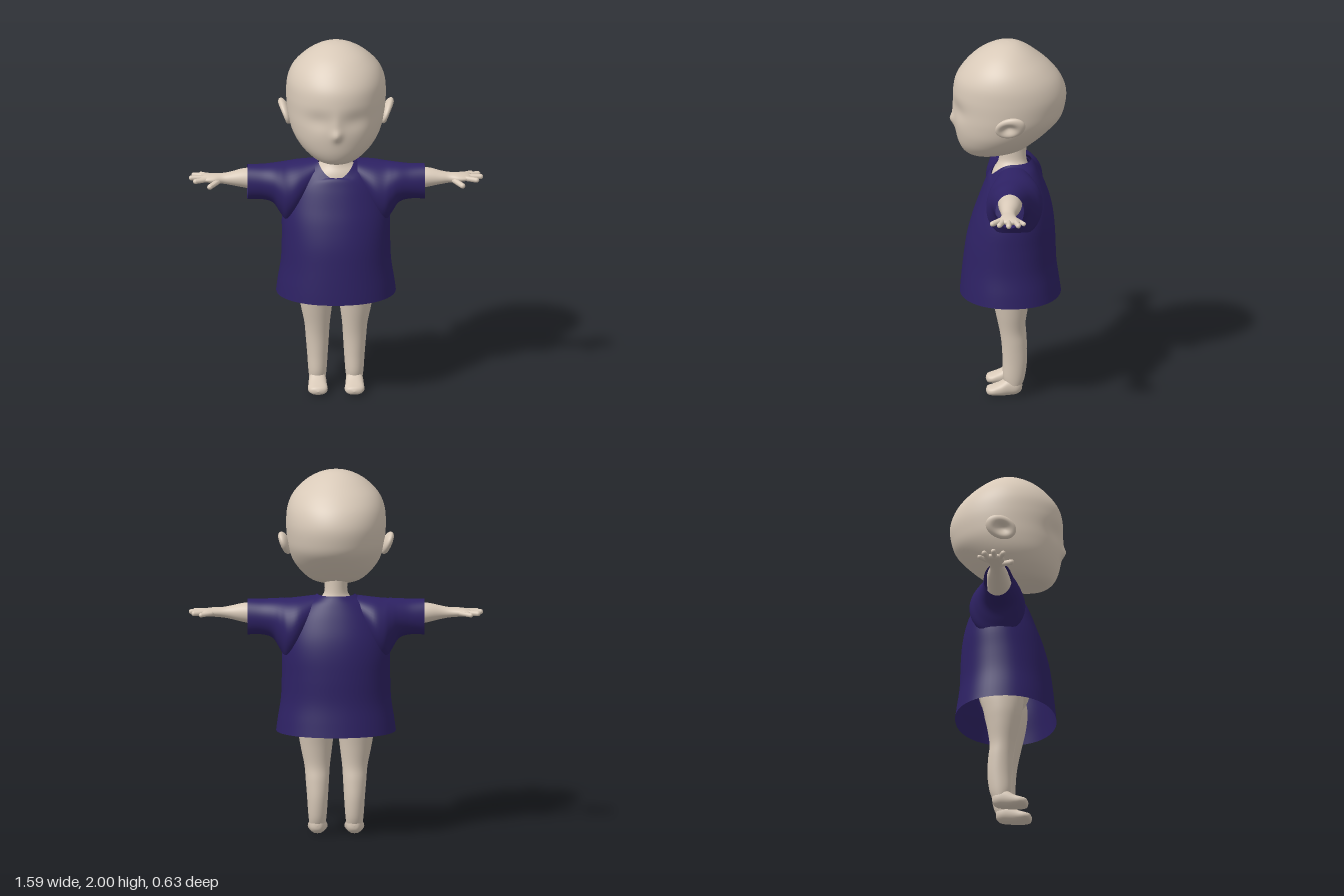
import * as THREE from 'three';

const skin = new THREE.MeshStandardMaterial({ color: 0xd8c9b8 });
skin.name = 'skin';
const cloth = new THREE.MeshStandardMaterial({ color: 0x2d2163, side: THREE.DoubleSide });
cloth.name = 'indigo cloth';

// Cross-plane axes for each loft direction, in cyclic order
const PLANE = { x: ['y', 'z'], y: ['z', 'x'], z: ['x', 'y'] };

// Smooth loft along an axis; each key is [position, centreU, radiusU, centreV, radiusV]
function loft(axis, keys, sides = 40, steps = 5, power = 2) {
  const [u, v] = PLANE[axis], pos = [], index = [], p = new THREE.Vector3();
  const last = keys.length - 1, rings = last * steps;
  const catmull = (a, b, c, d, t) =>
    b + 0.5 * t * (c - a + t * (2 * a - 5 * b + 4 * c - d + t * (3 * (b - c) + d - a)));
  const round = (w) => Math.sign(w) * Math.abs(w) ** (2 / power);
  for (let i = 0; i <= rings; i++) {
    const k = Math.min(Math.floor(i / steps), last - 1), t = i / steps - k;
    const key = (n) => keys[Math.min(Math.max(n, 0), last)];
    const s = keys[0].map((_, n) => catmull(key(k - 1)[n], key(k)[n], key(k + 1)[n], key(k + 2)[n], t));
    for (let j = 0; j < sides; j++) {
      const a = (j / sides) * Math.PI * 2;
      p[axis] = s[0];
      p[u] = s[1] + Math.max(s[2], 0) * round(Math.cos(a));
      p[v] = s[3] + Math.max(s[4], 0) * round(Math.sin(a));
      pos.push(p.x, p.y, p.z);
      if (i === rings) continue;
      const q = i * sides + j, r = i * sides + ((j + 1) % sides);
      index.push(q, r, r + sides, q, r + sides, q + sides);
    }
  }
  const g = new THREE.BufferGeometry();
  g.setAttribute('position', new THREE.Float32BufferAttribute(pos, 3));
  g.setIndex(index);
  g.computeVertexNormals();
  return g;
}

// Horizontal ring from its front z, back z and half width
const ring = (y, front, back, half) => [y, (front + back) / 2, (front - back) / 2, 0, half];

// Move every vertex by a rule
function deform(g, rule) {
  const a = g.attributes.position, p = new THREE.Vector3();
  for (let i = 0; i < a.count; i++) {
    rule(p.fromBufferAttribute(a, i));
    a.setXYZ(i, p.x, p.y, p.z);
  }
  g.computeVertexNormals();
  return g;
}

// Mirrored copy across x = 0 with corners reordered
function mirrored(g) {
  const m = g.clone().scale(-1, 1, 1), id = m.index.array;
  for (let i = 0; i < id.length; i += 3) [id[i], id[i + 1]] = [id[i + 1], id[i]];
  m.computeVertexNormals();
  return m;
}

const bell = (d, w) => Math.exp(-((d / w) ** 2));

function headGeometry() {
  const g = loft('y', [
    ring(1.357, 0.135, 0.135, 0), ring(1.359, 0.19, 0.07, 0.05), ring(1.37, 0.222, 0.01, 0.1),
    ring(1.395, 0.25, -0.08, 0.145), ring(1.44, 0.272, -0.145, 0.192), ring(1.5, 0.286, -0.215, 0.232),
    ring(1.57, 0.295, -0.28, 0.256), ring(1.64, 0.297, -0.306, 0.266), ring(1.72, 0.299, -0.313, 0.27),
    ring(1.8, 0.284, -0.285, 0.262), ring(1.87, 0.24, -0.228, 0.232), ring(1.93, 0.18, -0.158, 0.177),
    ring(1.97, 0.115, -0.1, 0.118), ring(1.993, 0.055, -0.05, 0.058), ring(2, 0, 0, 0),
  ], 128, 6);
  // Nose tip, nose bridge and shallow eye sockets
  return deform(g, (p) => {
    if (p.z < 0.1) return;
    p.z += 0.02 * bell(p.x, 0.026) * bell(p.y - 1.555, 0.03)
      + 0.007 * bell(p.x, 0.03) * bell(p.y - 1.61, 0.06)
      - 0.013 * bell(Math.abs(p.x) - 0.1, 0.07) * bell(p.y - 1.63, 0.055);
  });
}

function earGeometry() {
  // Flattened ball with a hollow on its outer side
  const g = deform(new THREE.SphereGeometry(1, 40, 28), (p) => {
    if (p.x > 0) p.x -= 1.25 * p.x * bell(Math.hypot(p.y, p.z - 0.15), 0.55);
  });
  g.scale(0.03, 0.062, 0.086);
  const turn = new THREE.Matrix4().makeRotationFromEuler(new THREE.Euler(0.4, -0.2, -0.3));
  return g.applyMatrix4(turn).translate(0.278, 1.598, -0.01);
}

// Rounded finger between two points
function finger(from, to, r) {
  const a = new THREE.Vector3(...from), b = new THREE.Vector3(...to), d = b.clone().sub(a);
  const g = new THREE.CapsuleGeometry(r, d.length() - r, 6, 14);
  const q = new THREE.Quaternion().setFromUnitVectors(new THREE.Vector3(0, 1, 0), d.clone().normalize());
  const mid = a.add(b).multiplyScalar(0.5);
  return g.applyQuaternion(q).translate(mid.x, mid.y, mid.z);
}

export function createModel() {
  const model = new THREE.Group();
  const add = (name, geometry, material) => {
    const m = new THREE.Mesh(geometry, material);
    m.name = name;
    model.add(m);
  };
  const addPair = (name, geometry, material) => {
    add(name + 'Left', geometry, material);
    add(name + 'Right', mirrored(geometry), material);
  };

  add('head', headGeometry(), skin);
  addPair('ear', earGeometry(), skin);

  // Neck and body
  add('body', loft('y', [
    ring(0.6, -0.02, -0.02, 0), ring(0.62, 0.05, -0.1, 0.09), ring(0.67, 0.09, -0.145, 0.18),
    ring(0.75, 0.12, -0.16, 0.205), ring(0.9, 0.13, -0.15, 0.19), ring(1.08, 0.11, -0.15, 0.19),
    ring(1.2, 0.095, -0.14, 0.165), ring(1.26, 0.082, -0.12, 0.13), ring(1.3, 0.06, -0.105, 0.085),
    ring(1.34, 0.05, -0.097, 0.062), ring(1.43, 0.055, -0.1, 0.064),
  ], 48), skin);

  // Shirt body with a neckline that dips at the front
  const shirt = loft('y', [
    ring(0.572, 0.262, -0.285, 0.324), ring(0.64, 0.256, -0.275, 0.315), ring(0.75, 0.244, -0.26, 0.298),
    ring(0.88, 0.226, -0.255, 0.293), ring(1, 0.195, -0.246, 0.292), ring(1.1, 0.16, -0.226, 0.275),
    ring(1.2, 0.125, -0.19, 0.235), ring(1.27, 0.108, -0.158, 0.18), ring(1.305, 0.1, -0.138, 0.125),
    ring(1.322, 0.094, -0.125, 0.1),
  ], 64, 5, 2.15);
  add('shirtBody', deform(shirt, (p) => {
    const rise = Math.max(0, (p.y - 1.15) / 0.17), front = Math.min(1, Math.max(0, (p.z + 0.02) / 0.11));
    p.y -= 0.075 * rise * rise * front * front;
  }), cloth);

  // Wide sleeves, open at the cuff
  addPair('sleeve', loft('x', [
    [0.115, 1.245, 0.07, -0.03, 0.09], [0.2, 1.165, 0.14, -0.035, 0.145], [0.26, 1.13, 0.168, -0.03, 0.15],
    [0.3, 1.155, 0.141, -0.02, 0.13], [0.34, 1.185, 0.109, -0.012, 0.107], [0.4, 1.193, 0.097, -0.008, 0.088],
    [0.48, 1.193, 0.098, -0.006, 0.077],
  ], 48), cloth);

  // Arms and palms
  addPair('arm', loft('x', [
    [0.1, 1.19, 0.07, -0.02, 0.07], [0.3, 1.2, 0.07, -0.01, 0.068], [0.42, 1.208, 0.062, -0.008, 0.064],
    [0.5, 1.215, 0.052, -0.006, 0.055], [0.57, 1.215, 0.036, 0, 0.041], [0.615, 1.215, 0.028, 0, 0.037],
    [0.66, 1.216, 0.025, 0.002, 0.047], [0.7, 1.217, 0.02, -0.006, 0.054], [0.725, 1.217, 0.013, -0.01, 0.045],
    [0.735, 1.217, 0, -0.01, 0],
  ], 32), skin);

  // Four spread fingers and a thumb: [start, tip, radius]
  const fingers = [
    [[0.67, 1.215, -0.04], [0.735, 1.212, -0.084], 0.012],
    [[0.69, 1.218, -0.03], [0.775, 1.216, -0.053], 0.014],
    [[0.69, 1.219, 0], [0.789, 1.218, 0.001], 0.014],
    [[0.69, 1.218, 0.025], [0.767, 1.215, 0.054], 0.014],
    [[0.635, 1.208, 0.025], [0.688, 1.195, 0.094], 0.015],
  ];
  fingers.forEach(([from, to, r], i) => addPair(i < 4 ? 'finger' + (i + 1) : 'thumb', finger(from, to, r), skin));

  // Legs
  addPair('leg', loft('y', [
    [0.04, -0.028, 0.036, 0.1, 0.04], [0.1, -0.03, 0.058, 0.1, 0.049], [0.2, -0.035, 0.066, 0.1, 0.056],
    [0.3, -0.03, 0.067, 0.101, 0.063], [0.38, -0.02, 0.069, 0.102, 0.069], [0.48, -0.016, 0.086, 0.106, 0.085],
    [0.57, -0.016, 0.104, 0.108, 0.097], [0.67, -0.022, 0.118, 0.106, 0.1], [0.76, -0.022, 0.1, 0.1, 0.08],
  ], 40), skin);

  // Feet
  addPair('foot', loft('z', [
    [-0.076, 0.1, 0, 0.055, 0], [-0.07, 0.1, 0.024, 0.055, 0.027], [-0.045, 0.1, 0.042, 0.054, 0.045],
    [0, 0.1, 0.047, 0.052, 0.05], [0.045, 0.1, 0.051, 0.037, 0.037], [0.085, 0.099, 0.053, 0.03, 0.027],
    [0.112, 0.098, 0.038, 0.028, 0.02], [0.122, 0.098, 0, 0.028, 0],
  ], 36, 5, 2.3), skin);

  return model;
}
